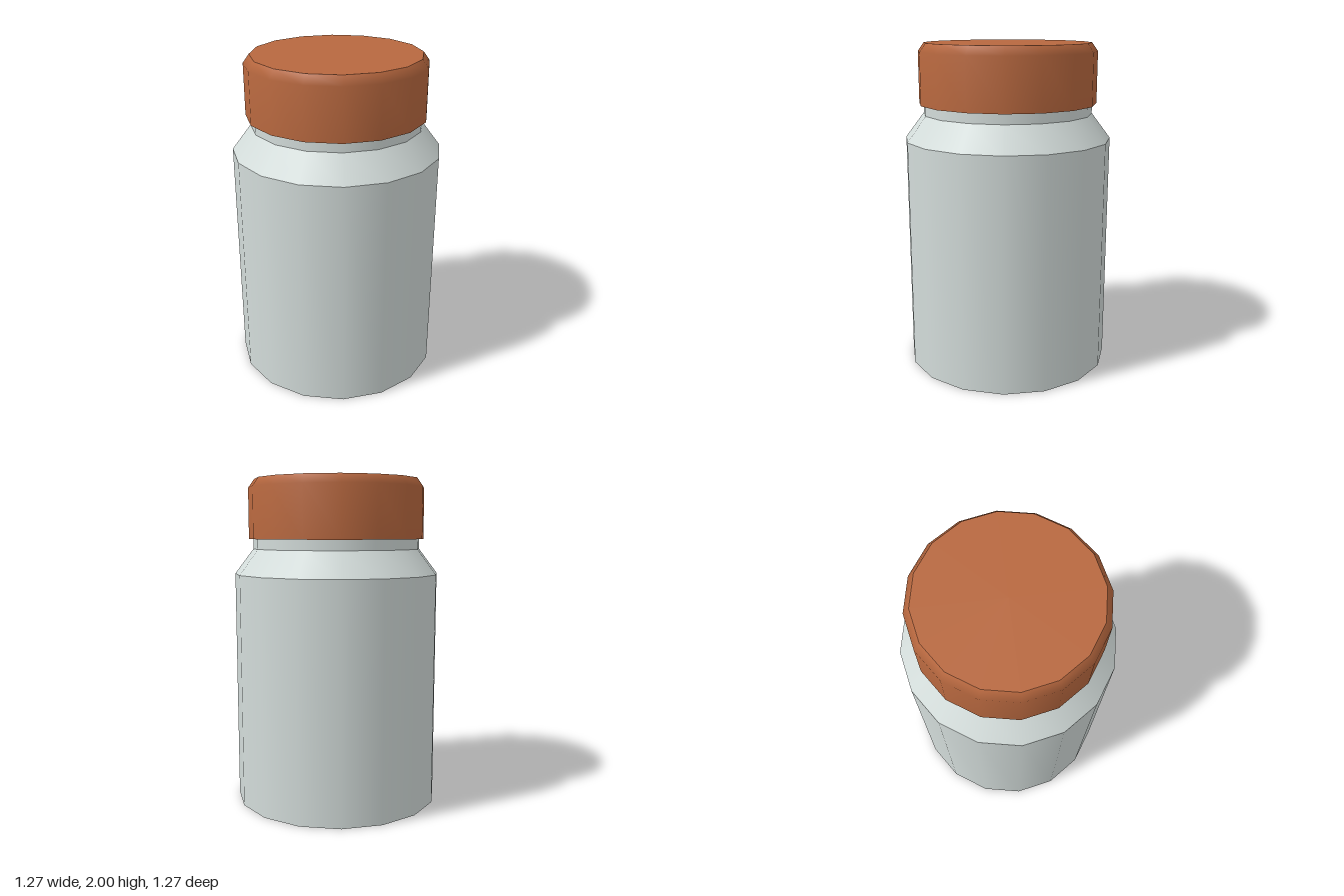
import * as THREE from 'three';

const SIDES = 16;

export function createModel() {
  const group = new THREE.Group();
  group.name = 'pillBottle';
  const glass = new THREE.MeshStandardMaterial({ name: 'paleGrey', color: 0xd3dcda });
  const lid = new THREE.MeshStandardMaterial({ name: 'rustOrange', color: 0xb8683f });

  const add = (name, geometry, material) => {
    const mesh = new THREE.Mesh(geometry, material);
    mesh.name = name;
    group.add(mesh);
  };
  // Smooth wall through [radius, height] points, listed upwards
  const wall = (...pts) =>
    new THREE.LatheGeometry(pts.map(([r, y]) => new THREE.Vector2(r, y)), SIDES);
  // Flat disc facing up (dir 1) or down (dir -1)
  const disc = (r, y, dir) =>
    new THREE.CircleGeometry(r, SIDES).rotateX(-dir * Math.PI / 2).translate(0, y, 0);

  // Bottle: each band has its own wall so the rims stay sharp
  add('bottleBase', disc(0.633, 0, -1), glass);
  add('bottleBody', wall([0.633, 0], [0.633, 1.424]), glass);
  add('bottleShoulder', wall([0.633, 1.424], [0.518, 1.576]), glass);
  add('bottleNeck', wall([0.518, 1.576], [0.518, 1.64]), glass);

  // Cap: the bevel blends softly into the side
  add('capUnderside', disc(0.545, 1.637, -1), lid);
  add('capSide', wall([0.545, 1.637], [0.545, 1.948], [0.508, 2]), lid);
  add('capTop', disc(0.508, 2, 1), lid);
  return group;
}
